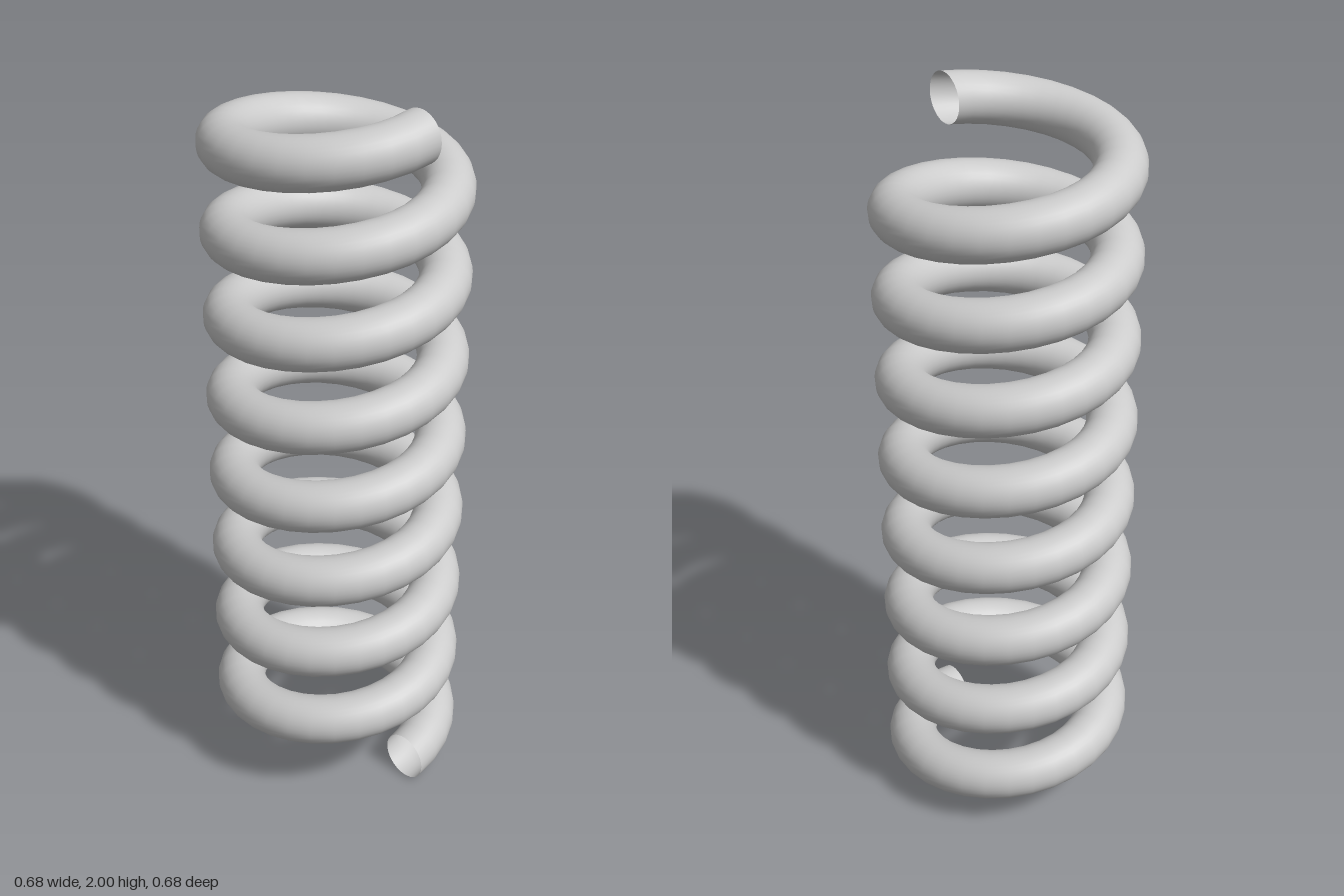
import * as THREE from 'three';
import { mergeVertices } from 'three/addons/utils/BufferGeometryUtils.js';

const TURNS = 8, STEPS = 32 * TURNS; // 32 steps per turn
const COIL_RADIUS = 0.2735, WIRE_RADIUS = 0.067, HEIGHT = 2;

// A torus wound several times round, then lifted steadily along its arc.
// Wire sections stay upright, so both ends are cut vertically.
function coilGeometry() {
  const torus = new THREE.TorusGeometry(COIL_RADIUS, WIRE_RADIUS, 32, STEPS, TURNS * Math.PI * 2);
  torus.rotateX(-Math.PI / 2);
  const rise = HEIGHT - 2 * WIRE_RADIUS;
  const pos = torus.attributes.position;
  for (let n = 0; n < pos.count; n++) {
    const step = n % (STEPS + 1);
    pos.setY(n, pos.getY(n) + WIRE_RADIUS + rise * step / STEPS);
  }
  // Weld the lengthwise seam for smooth shading
  torus.deleteAttribute('uv');
  torus.deleteAttribute('normal');
  const coil = mergeVertices(torus, 1e-5);
  coil.computeVertexNormals();
  return coil;
}

export function createModel() {
  const group = new THREE.Group();
  group.name = 'spring';
  // Open-ended wire, so its inside shows at both ends
  const material = new THREE.MeshStandardMaterial({ color: 0xcccccc, side: THREE.DoubleSide });
  const coil = new THREE.Mesh(coilGeometry(), material);
  coil.name = 'coil';
  group.add(coil);
  return group;
}
